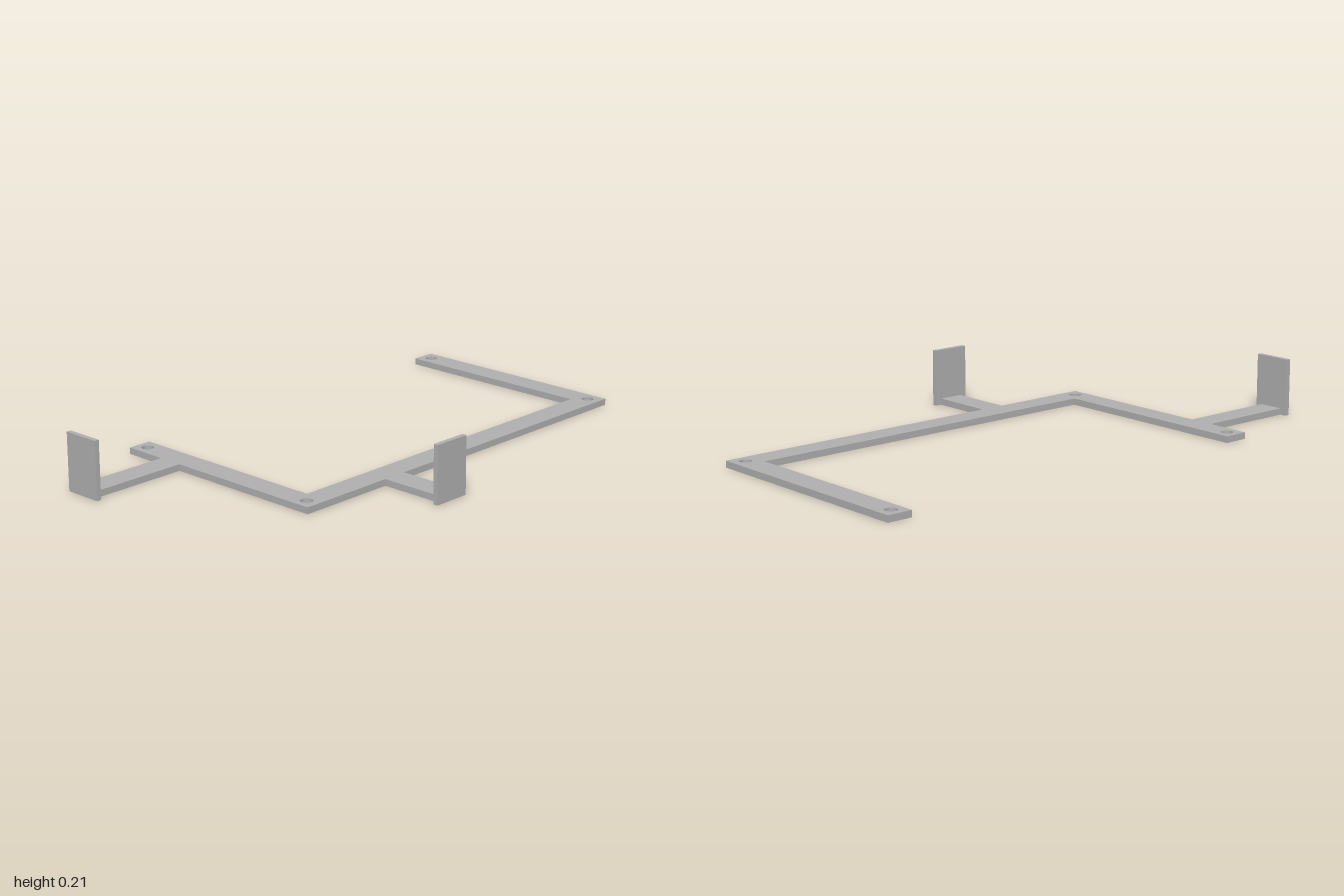
import * as THREE from 'three';

const THICK = 0.024;   // height of the flat frame
const PLATE = 0.018;   // thickness of the upright tabs
const TAB_W = 0.144;
const TAB_H = 0.212;

export function createModel() {
  const model = new THREE.Group();
  const grey = new THREE.MeshStandardMaterial({ color: 0xb0b0b0 });
  grey.name = 'grey';

  // Flat U-shaped frame with its two side arms, drawn as (x, z)
  const outline = [
    [-0.608, -0.57], [-0.517, -0.57], [-0.517, 0.22], [0.906, 0.22],
    [0.906, -0.57], [1, -0.57], [1, 0.313], [-0.138, 0.313],
    [-0.138, 0.552], [-0.232, 0.552], [-0.232, 0.313], [-0.608, 0.313],
    [-0.608, -0.31], [-0.982, -0.31], [-0.982, -0.404], [-0.608, -0.404],
  ];
  const shape = new THREE.Shape(outline.map(([x, z]) => new THREE.Vector2(x, z)));

  // Screw holes at the corners and arm ends
  for (const x of [-0.563, 0.952]) {
    for (const z of [-0.525, 0.265]) {
      const hole = new THREE.Path();
      hole.absarc(x, z, 0.022, 0, Math.PI * 2, true);
      shape.holes.push(hole);
    }
  }
  const frameGeometry = new THREE.ExtrudeGeometry(shape, {
    depth: THICK, bevelEnabled: false, curveSegments: 24,
  });
  frameGeometry.rotateX(Math.PI / 2).translate(0, THICK, 0);
  const frame = new THREE.Mesh(frameGeometry, grey);
  frame.name = 'frame';
  model.add(frame);

  // Upright tabs at the ends of the side arms
  const addTab = (name, w, d, x, z) => {
    const tab = new THREE.Mesh(new THREE.BoxGeometry(w, TAB_H, d), grey);
    tab.name = name;
    tab.position.set(x, TAB_H / 2, z);
    model.add(tab);
  };
  addTab('frontTab', TAB_W, PLATE, -0.185, 0.57 - PLATE / 2);
  addTab('rightTab', PLATE, TAB_W, -1 + PLATE / 2, -0.357);

  return model;
}
